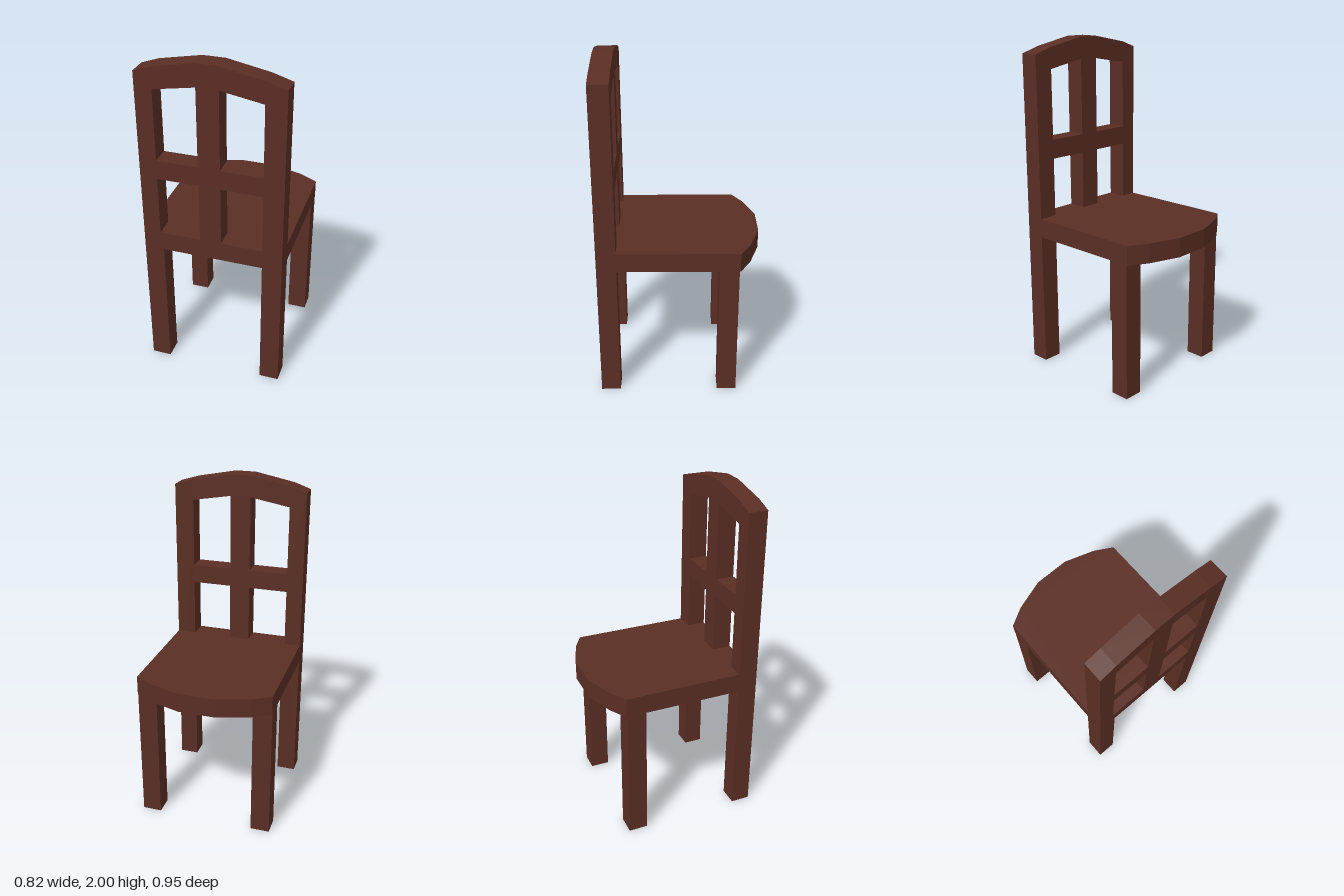
import * as THREE from 'three';

const SEAT_TOP = 0.94, SEAT_BOTTOM = 0.825;
const HALF_WIDTH = 0.41, LEG = 0.115;
const BACK_Z = 0.36;

const toPoints = (pairs) => pairs.map(([x, y]) => new THREE.Vector2(x, y));

function extrude(shape, depth) {
  return new THREE.ExtrudeGeometry(shape, { depth, bevelEnabled: false });
}

export function createModel() {
  const chair = new THREE.Group();
  chair.name = 'chair';
  const wood = new THREE.MeshStandardMaterial({ color: 0x5a2e24 });
  wood.name = 'dark brown wood';

  const add = (name, geometry) => {
    const mesh = new THREE.Mesh(geometry, wood);
    mesh.name = name;
    chair.add(mesh);
    return mesh;
  };

  // Backrest frame with an arched top, running down into the two rear legs
  const inner = HALF_WIDTH - LEG;
  const frame = new THREE.Shape(toPoints([
    [-HALF_WIDTH, 0], [-inner, 0], [-inner, SEAT_BOTTOM],
    [inner, SEAT_BOTTOM], [inner, 0], [HALF_WIDTH, 0],
    [HALF_WIDTH, 1.918], [0.295, 1.953], [0.055, 2],
    [-0.07, 2], [-0.31, 1.953], [-HALF_WIDTH, 1.918],
  ]));

  // Four openings left by the centre post and the middle rail
  for (const [outerX, innerX] of [[-0.31, -0.07], [0.295, 0.055]]) {
    frame.holes.push(
      new THREE.Path(toPoints([
        [outerX, SEAT_TOP], [innerX, SEAT_TOP], [innerX, 1.295], [outerX, 1.295],
      ])),
      new THREE.Path(toPoints([
        [outerX, 1.41], [innerX, 1.41], [innerX, 1.87], [outerX, 1.828],
      ])),
    );
  }
  add('backrestAndRearLegs', extrude(frame, LEG)).position.z = BACK_Z;

  // Seat slab with a faceted, bowed leading edge
  const seatOutline = new THREE.Shape(toPoints([
    [-HALF_WIDTH, BACK_Z], [-HALF_WIDTH, -0.35], [-0.3, -0.413], [-0.11, -0.475],
    [0.11, -0.475], [0.3, -0.413], [HALF_WIDTH, -0.35], [HALF_WIDTH, BACK_Z],
  ]));
  const seat = extrude(seatOutline, SEAT_TOP - SEAT_BOTTOM).rotateX(Math.PI / 2);
  add('seat', seat).position.y = SEAT_TOP;

  // Pair of legs under the bowed edge
  for (const side of [-1, 1]) {
    const leg = add(side > 0 ? 'leftSeatLeg' : 'rightSeatLeg',
      new THREE.BoxGeometry(LEG, SEAT_BOTTOM, LEG));
    leg.position.set(side * (HALF_WIDTH - LEG / 2), SEAT_BOTTOM / 2, -0.2875);
  }

  return chair;
}
